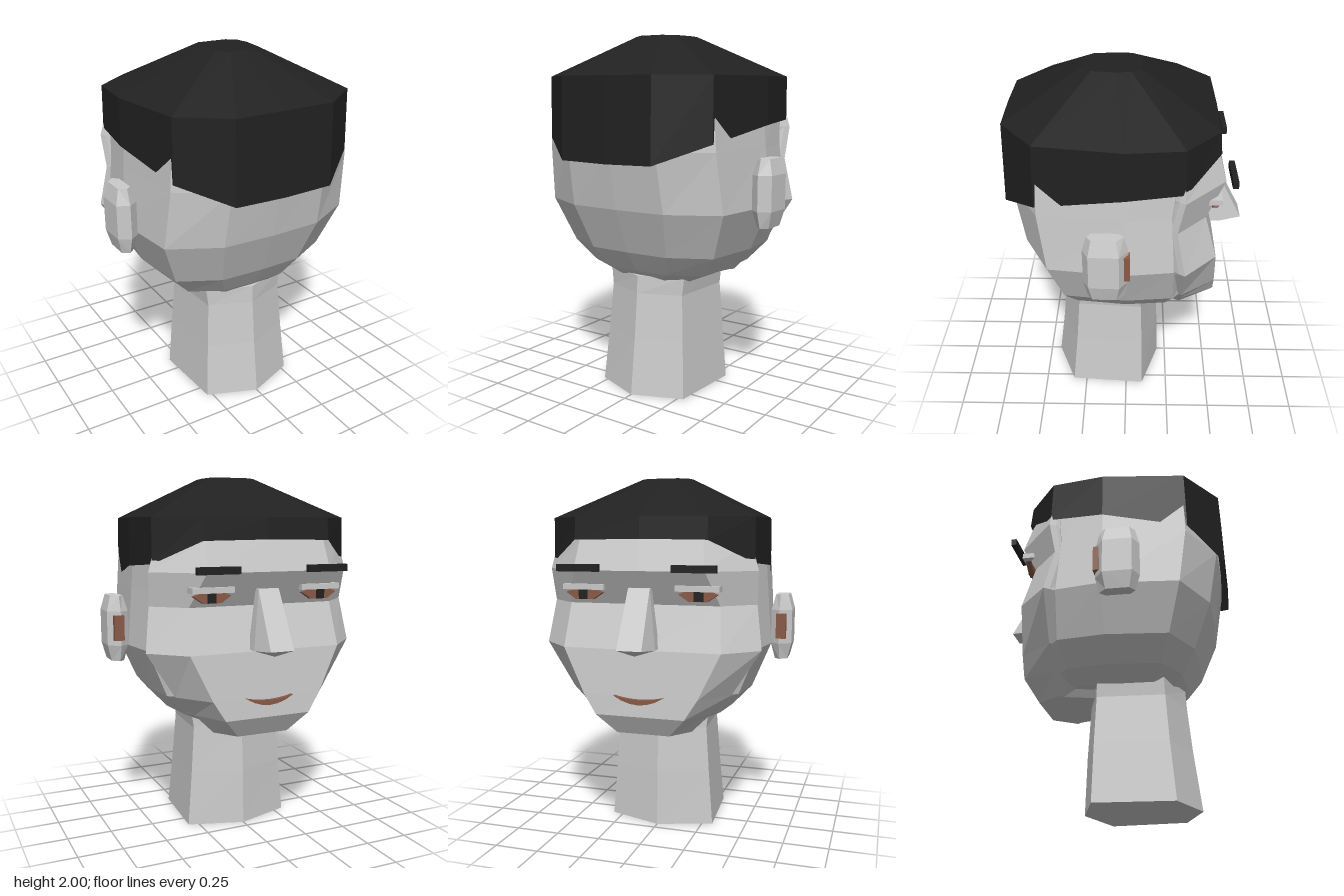
import * as THREE from 'three';
import { ConvexGeometry } from 'three/addons/geometries/ConvexGeometry.js';

const skin = new THREE.MeshStandardMaterial({ color: 0xcbcbcb });
const black = new THREE.MeshStandardMaterial({ color: 0x212121, side: THREE.DoubleSide });
const brown = new THREE.MeshStandardMaterial({ color: 0x8a5a47 });
skin.name = 'skin';
black.name = 'hair black';
brown.name = 'lip brown';

function part(name, geometry, material, parent) {
  const mesh = new THREE.Mesh(geometry, material);
  mesh.name = name;
  parent.add(mesh);
  return mesh;
}

function box(name, size, position, material, parent) {
  part(name, new THREE.BoxGeometry(...size), material, parent).position.set(...position);
}

// Completes a half ring that runs from the back centre to the front centre
const mirror = half => half.concat(half.slice(1, -1).reverse().map(([x, y, z]) => [-x, y, z]));

// Faceted skin over closed rings, ordered from bottom to top
function loft(rings, capBottom = true) {
  const out = [];
  const n = rings[0].length;
  const centre = r => [0, 1, 2].map(k => r.reduce((s, p) => s + p[k], 0) / n);
  const low = rings[0], high = rings[rings.length - 1];
  const lowMid = centre(low), highMid = centre(high);
  for (let j = 0; j < n; j++) {
    const k = (j + 1) % n;
    for (let i = 0; i + 1 < rings.length; i++) {
      const a = rings[i], b = rings[i + 1];
      out.push(a[j], a[k], b[k], a[j], b[k], b[j]);
    }
    if (capBottom) out.push(lowMid, low[k], low[j]);
    out.push(highMid, high[j], high[k]);
  }
  const g = new THREE.BufferGeometry();
  g.setAttribute('position', new THREE.Float32BufferAttribute(out.flat(), 3));
  g.computeVertexNormals();
  return g;
}

export function createModel() {
  const model = new THREE.Group();
  model.name = 'head';

  // Neck: six-sided, tapering upward. [y, side, back, front]
  const neck = [[0, 1, 0.44, -0.2], [0.32, 0.92, 0.4, -0.19], [0.58, 0.86, 0.375, -0.175], [0.68, 0.9, 0.37, -0.17]];
  part('neck', loft(neck.map(([y, s, b, f]) => mirror([
    [0, y, b], [0.28 * s, y, b * 0.75], [0.31 * s, y, f * 0.5], [0, y, f]]))), skin, model);

  // Skull: [y, half width, back, front]
  const skull = [
    [0.65, 0.27, 0.31, 0.3], [0.71, 0.4, 0.38, 0.36], [0.83, 0.515, 0.46, 0.42],
    [1.08, 0.62, 0.56, 0.41], [1.4, 0.595, 0.615, 0.38], [1.75, 0.57, 0.6, 0.44]];
  part('skull', loft(skull.map(([y, w, b, f]) => mirror([
    [0, y, b], [0.48 * w, y, 0.98 * b], [0.92 * w, y, 0.73 * b], [w, y, 0],
    [0.95 * w, y, -0.62 * f], [0.6 * w, y, -f], [0, y, -f]]))), skin, model);

  // Face: [y, front z, front corner x, side x, side z]
  const face = [
    [0.61, -0.44, 0.15, 0.24, -0.31], [0.72, -0.505, 0.25, 0.35, -0.31],
    [0.83, -0.5, 0.32, 0.46, -0.31], [1.08, -0.485, 0.44, 0.62, -0.31],
    [1.32, -0.42, 0.42, 0.585, -0.265], [1.5, -0.52, 0.36, 0.595, -0.3],
    [1.66, -0.475, 0.34, 0.55, -0.29], [1.7, -0.46, 0.33, 0.53, -0.28]];
  part('face', loft(face.map(([y, fz, fx, sx, sz]) => mirror([
    [0, y, -0.1], [0.7 * sx, y, -0.1], [sx - 0.02, y, sz + 0.03],
    [sx, y, sz], [fx, y, fz], [0, y, fz]]))), skin, model);

  // Hair cap: [x, z, height of lower edge]
  const hairline = [
    [0, 0.65, 1.33], [0.29, 0.645, 1.335], [0.535, 0.46, 1.44], [0.605, 0, 1.52],
    [0.575, -0.3, 1.54], [0.365, -0.485, 1.66], [0, -0.49, 1.665]];
  part('hair', loft([
    mirror(hairline.map(([x, z, y]) => [x, y, z])),
    mirror(hairline.map(([x, z]) => [x * 0.995, 1.78, z * 0.98])),
    mirror(hairline.map(([x, z]) => [x * 0.24, 2, 0.055 + z * 0.27])),
  ], false), black, model);

  // Nose: wedge with a pointed underside
  const nose = [[0, 1.06, -0.57]];
  for (const s of [-1, 1]) nose.push([s * 0.06, 1.41, -0.46], [s * 0.06, 1.41, -0.495], [s * 0.068, 1.1, -0.655], [s * 0.1, 1.09, -0.46], [s * 0.1, 1.09, -0.53]);
  part('nose', new ConvexGeometry(nose.map(p => new THREE.Vector3(...p))), skin, model);

  // Mouth: thin smiling crescent
  const smile = new THREE.Shape();
  smile.moveTo(-0.14, 0.835);
  smile.quadraticCurveTo(0, 0.8, 0.14, 0.835);
  smile.quadraticCurveTo(0, 0.745, -0.14, 0.835);
  const lips = new THREE.ExtrudeGeometry(smile, { depth: 0.03, bevelEnabled: false, curveSegments: 6 });
  part('mouth', lips, brown, model).position.z = -0.523;

  // Almond eye outline
  const almond = new THREE.Shape();
  almond.moveTo(-0.105, 0.012);
  almond.lineTo(-0.05, -0.025);
  almond.lineTo(0.05, -0.025);
  almond.lineTo(0.105, 0.012);
  almond.lineTo(0.06, 0.03);
  almond.lineTo(-0.06, 0.03);
  const eyeGeometry = new THREE.ExtrudeGeometry(almond, { depth: 0.03, bevelEnabled: false });

  // Ear outline: [x, z] around its centre
  const earRing = [[-0.06, 0.08], [-0.01, 0.117], [0.055, 0.085], [0.06, -0.07], [-0.005, -0.118], [-0.055, -0.08]];
  const earGeometry = loft([[0.99, 0.6], [1.08, 1], [1.27, 1], [1.355, 0.6]].map(([y, s]) =>
    earRing.map(([x, z]) => [x * s, y, z * (s + 1) / 2])));

  for (const s of [-1, 1]) {
    const side = s > 0 ? 'left' : 'right';
    box(side + 'Eyebrow', [0.235, 0.038, 0.03], [s * 0.315, 1.515, -0.56], black, model);
    box(side + 'Eyelid', [0.235, 0.03, 0.08], [s * 0.315, 1.412, -0.46], skin, model);
    part(side + 'Eye', eyeGeometry, brown, model).position.set(s * 0.315, 1.37, -0.484);
    box(side + 'Pupil', [0.05, 0.055, 0.03], [s * 0.32, 1.373, -0.474], black, model);
    const ear = part(side + 'Ear', earGeometry, skin, model);
    ear.position.set(s * 0.67, 0, 0.097);
    if (s < 0) ear.scale.x = -1;
    box(side + 'InnerEar', [0.055, 0.14, 0.03], [s * 0.675, 1.18, -0.012], brown, model);
  }
  return model;
}
